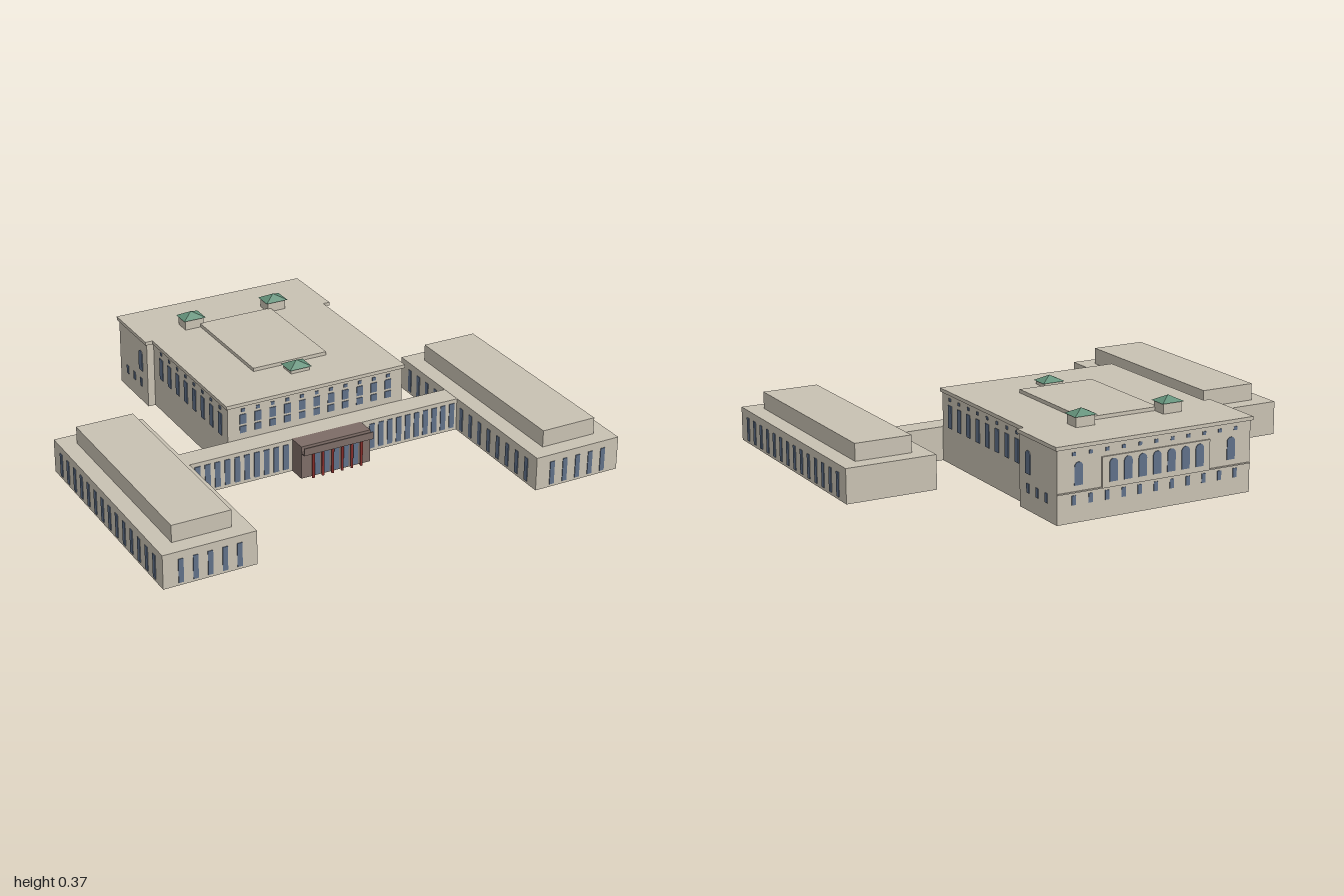
import * as THREE from 'three';

const mat = (name, color, side = THREE.FrontSide) => {
  const m = new THREE.MeshStandardMaterial({ color, side });
  m.name = name;
  return m;
};

export function createModel() {
  const stone = mat('stone', 0xc8c1b2, THREE.DoubleSide);
  const glass = mat('window glass', 0x5f7088);
  const bronze = mat('porch brown', 0x7d6c66);
  const red = mat('column red', 0x8a2f2c);
  const copper = mat('copper green', 0x629079, THREE.DoubleSide);
  const root = new THREE.Group();

  const add = (name, geometry, material, parent = root) => {
    const mesh = new THREE.Mesh(geometry, material);
    mesh.name = name;
    parent.add(mesh);
    return mesh;
  };

  const box = (name, x0, x1, y0, y1, z0, z1, material, parent = root) => {
    const g = new THREE.BoxGeometry(x1 - x0, y1 - y0, z1 - z0);
    g.translate((x0 + x1) / 2, (y0 + y1) / 2, (z0 + z1) / 2);
    return add(name, g, material, parent);
  };

  // Box without its underside (the blocks are hollow shells)
  const shell = (name, x0, x1, y0, y1, z0, z1, parent = root) => {
    const mesh = box(name, x0, x1, y0, y1, z0, z1, stone, parent);
    const g = mesh.geometry;
    const index = Array.from(g.index.array);
    index.splice(18, 6);
    g.setIndex(index);
    g.clearGroups();
    return mesh;
  };

  // Plan outline [x, z] raised between two heights, underside optional
  const prism = (name, plan, y0, y1, open) => {
    const shape = new THREE.Shape(plan.map(([x, z]) => new THREE.Vector2(x, -z)));
    let g = new THREE.ExtrudeGeometry(shape, { depth: y1 - y0, bevelEnabled: false });
    g.rotateX(-Math.PI / 2).translate(0, y0, 0);
    if (open) {
      const n = g.attributes.normal;
      const keep = [];
      for (let i = 0; i < n.count; i += 3) if (n.getY(i) > -0.5) keep.push(i, i + 1, i + 2);
      g.setIndex(keep);
      g.clearGroups();
    }
    return add(name, g, stone);
  };

  // A wall frame: local x runs along the wall, local z points outwards
  const facade = (name, x, z, angle) => {
    const g = new THREE.Group();
    g.name = name;
    g.position.set(x, 0, z);
    g.rotation.y = angle;
    root.add(g);
    return g;
  };

  // Evenly spaced window plates between two end centres
  const row = (wall, first, last, count, w, y0, y1, skip = () => false, z = 0) => {
    for (let i = 0; i < count; i++) {
      const x = count > 1 ? first + (last - first) * i / (count - 1) : first;
      if (!skip(x)) box('window', x - w / 2, x + w / 2, y0, y1, z - 0.002, z + 0.003, glass, wall);
    }
  };

  // Round-headed window
  const arch = (wall, x, w, y0, y1, z = 0) => {
    const s = new THREE.Shape();
    s.moveTo(x - w / 2, y0);
    s.lineTo(x + w / 2, y0);
    s.lineTo(x + w / 2, y1 - w / 2);
    s.absarc(x, y1 - w / 2, w / 2, 0, Math.PI, false);
    s.closePath();
    const g = new THREE.ExtrudeGeometry(s, { depth: 0.005, bevelEnabled: false, curveSegments: 8 });
    add('archedWindow', g.translate(0, 0, z - 0.002), glass, wall);
  };

  // Side wings with raised upper storeys
  const wings = [
    { name: 'rightWing', x: [-1, -0.615], z: [-0.2, 0.825], ux: [-0.93, -0.685], uz: [-0.13, 0.755] },
    { name: 'leftWing', x: [0.61, 0.997], z: [-0.205, 0.84], ux: [0.682, 0.925], uz: [-0.135, 0.77] },
  ];
  for (const { name, x, z, ux, uz } of wings) {
    shell(name, ...x, 0, 0.143, ...z);
    shell(name + 'UpperStorey', ...ux, 0.143, 0.215, ...uz);
    const mid = (x[0] + x[1]) / 2;
    row(facade(name + 'Front', mid, z[1], 0), -0.12, 0.12, 5, 0.021, 0.012, 0.112);
    const a = z[0] + 0.075, b = z[1] - 0.072;
    const nearLink = (p) => p > 0.12 && p < 0.27;
    const sides = [[x[0], -1], [x[1], 1]];
    for (const [sx, dir] of sides) {
      const inner = dir * mid < 0;
      const wall = facade(name + (inner ? 'InnerSide' : 'OuterSide'), sx, 0, dir * Math.PI / 2);
      row(wall, -dir * a, -dir * b, 14, 0.022, 0.012, 0.112, (p) => inner && nearLink(-dir * p));
    }
  }

  // Low gallery linking the wings
  shell('gallery', -0.615, 0.61, 0, 0.142, 0.147, 0.245);
  const galleryFront = facade('galleryFront', 0, 0.245, 0);
  row(galleryFront, -0.58, -0.19, 10, 0.024, 0.014, 0.125);
  row(galleryFront, 0.205, 0.585, 10, 0.024, 0.014, 0.125);

  // Main hall with wider rear block, T-shaped in plan
  const plan = (o) => [
    [-0.398 - o, 0.146 + o], [0.402 + o, 0.146 + o], [0.402 + o, -0.55 + o], [0.432 + o, -0.55 + o],
    [0.432 + o, -0.832 - o], [-0.43 - o, -0.832 - o], [-0.43 - o, -0.55 + o], [-0.398 - o, -0.55 + o],
  ];
  prism('mainHall', plan(0), 0, 0.294, true);
  prism('cornice', plan(0.008), 0.29, 0.305, false);
  box('roofPanel', -0.167, 0.17, 0.3, 0.32, -0.58, -0.08, stone);

  const hallFront = facade('hallFront', 0, 0.146, 0);
  row(hallFront, -0.33, 0.335, 11, 0.016, 0.263, 0.277);
  row(hallFront, -0.33, 0.335, 11, 0.029, 0.21, 0.252);
  row(hallFront, -0.33, 0.335, 11, 0.029, 0.17, 0.2);

  for (const s of [-1, 1]) {
    const hallSide = facade('hallSide', s > 0 ? 0.402 : -0.398, 0, s * Math.PI / 2);
    row(hallSide, -s * 0.08, s * 0.475, 8, 0.03, 0.15, 0.245);
    row(hallSide, -s * 0.08, s * 0.475, 8, 0.015, 0.262, 0.275);
    const rearSide = facade('rearBlockSide', s > 0 ? 0.432 : -0.43, 0, s * Math.PI / 2);
    arch(rearSide, s * 0.615, 0.036, 0.145, 0.237);
    row(rearSide, s * 0.615, s * 0.755, 3, 0.018, 0.07, 0.107);
  }

  // Rear wall: arched centre bay, end arches, small windows above and below
  const rear = facade('rearWall', 0, -0.832, Math.PI);
  box('rearCentreBay', -0.24, 0.24, 0.12, 0.24, -0.001, 0.007, stone, rear);
  box('rearStringCourse', -0.43, 0.43, 0.117, 0.122, -0.001, 0.005, stone, rear);
  for (let i = -3; i <= 3; i++) arch(rear, i * 0.064, 0.036, 0.14, 0.23, 0.007);
  for (const x of [-0.34, 0.34]) arch(rear, x, 0.036, 0.145, 0.235);
  row(rear, -0.36, 0.36, 11, 0.018, 0.07, 0.107);
  row(rear, -0.36, 0.36, 11, 0.015, 0.26, 0.274);

  // Roof turrets with copper pyramid caps
  const turret = (name, x, z, y) => {
    box(name + 'Base', x - 0.042, x + 0.042, 0.3, y, z - 0.034, z + 0.034, stone);
    const cap = new THREE.ConeGeometry(Math.SQRT1_2, 0.024, 4).rotateY(Math.PI / 4);
    cap.scale(0.1, 1, 0.081).translate(x, y + 0.012, z);
    add(name + 'Cap', cap.toNonIndexed(), copper).geometry.computeVertexNormals();
  };
  turret('rightTurret', -0.195, -0.608, 0.347);
  turret('leftTurret', 0.197, -0.608, 0.347);
  turret('frontTurret', 0, -0.022, 0.322);

  // Entrance porch with fascia, glazed doors and red columns
  box('porch', -0.16, 0.155, 0, 0.143, 0.24, 0.32, bronze);
  box('porchFascia', -0.16, 0.155, 0.115, 0.145, 0.341, 0.346, bronze);
  box('porchSoffit', -0.16, 0.155, 0.113, 0.118, 0.315, 0.345, bronze);
  const porchFront = facade('porchFront', 0, 0.32, 0);
  row(porchFront, -0.09, 0.085, 5, 0.026, 0.005, 0.105);
  for (let i = 0; i < 6; i++) {
    const column = new THREE.CylinderGeometry(0.006, 0.006, 0.113, 8);
    add('column', column.translate(-0.112 + i * 0.0438, 0.0565, 0.333), red);
  }
  return root;
}
